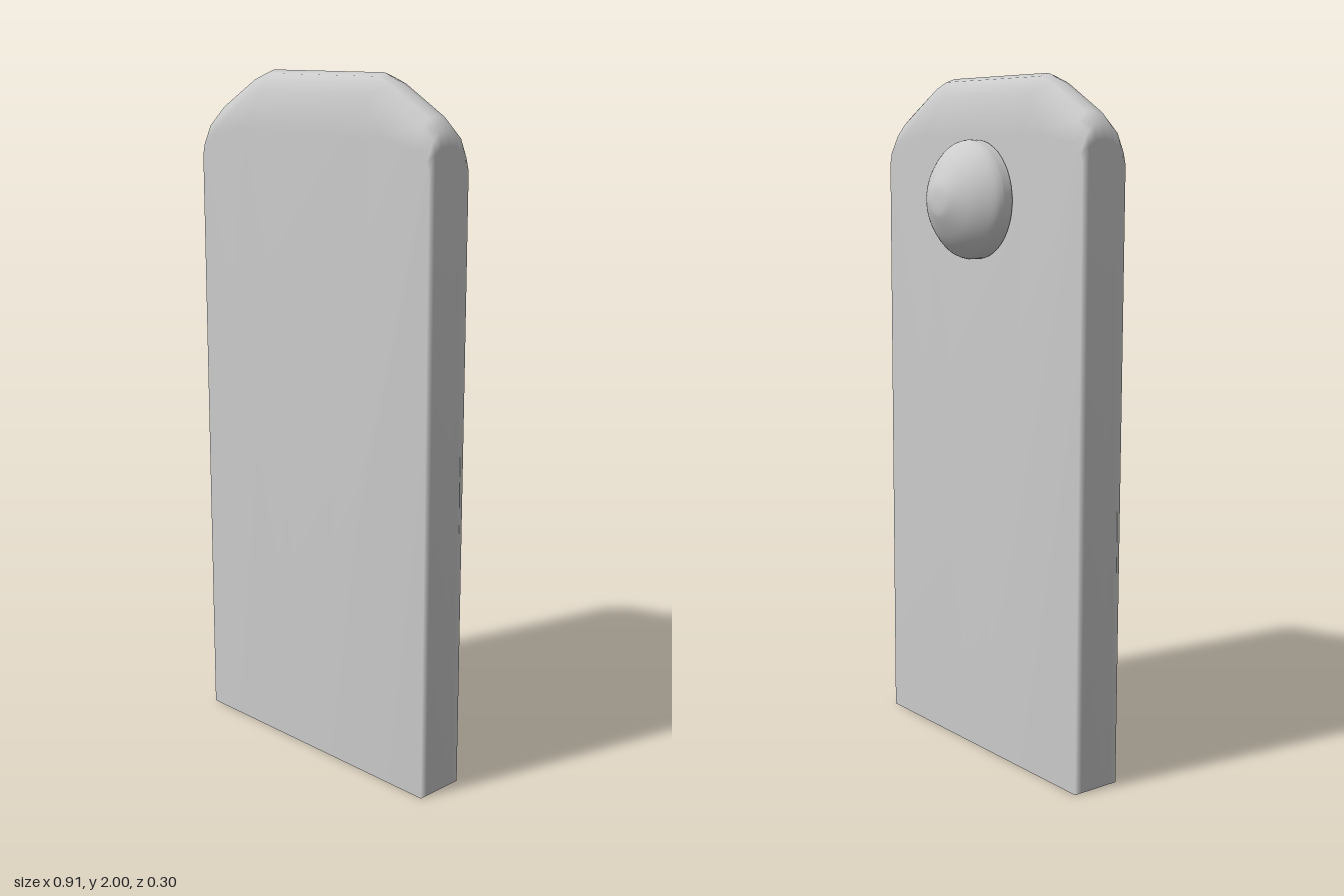
import * as THREE from 'three';

const material = () => new THREE.MeshStandardMaterial({ color: 0xcccccc });

// Upright slab: outline loops stacked through the depth, top edge dropping toward both faces
function slabGeometry() {
  // right half of the outline, bottom to top: x, y, share of the top drop
  const half = [
    [0.455, 0, 0], [0.455, 1.82, 0.4], [0.447, 1.86, 0.45], [0.41, 1.895, 0.5],
    [0.27, 1.98, 0.85], [0.22, 2, 1],
  ];
  const mirrored = half.map(([x, y, d]) => [-x, y, d]).reverse();
  const outline = [[0, 0, 0], ...half, ...mirrored];
  const steps = [[0.076, 0.17], [0.053, 0.055], [0.03, 0.01]]; // half depth, drop
  const layers = [
    ...steps.map(([h, d]) => [-h, d]), [0, 0],
    ...steps.map(([h, d]) => [h, d]).reverse(),
  ];
  const midZ = 0.071;
  const n = outline.length;
  const positions = [];
  const index = [];
  for (const [z, drop] of layers)
    for (const [x, y, share] of outline) positions.push(x, y - drop * share, midZ + z);
  for (let k = 0; k < layers.length - 1; k++) {
    for (let i = 0; i < n; i++) {
      const a = k * n + i;
      const b = k * n + ((i + 1) % n);
      index.push(a, b, b + n, a, b + n, a + n);
    }
  }
  // flat front and back faces
  const front = (layers.length - 1) * n;
  for (let i = 1; i < n - 1; i++) {
    index.push(front, front + i, front + i + 1);
    index.push(0, i + 1, i);
  }
  const geometry = new THREE.BufferGeometry();
  geometry.setAttribute('position', new THREE.Float32BufferAttribute(positions, 3));
  geometry.setIndex(index);
  geometry.computeVertexNormals();
  return geometry;
}

// Domed knob, turned around the depth axis
function knobGeometry() {
  const dome = new THREE.SplineCurve([
    [0.169, 0.04], [0.158, 0.066], [0.115, 0.107], [0.055, 0.141], [0.025, 0.149], [0, 0.15],
  ].map(([r, h]) => new THREE.Vector2(r, h)));
  const profile = [new THREE.Vector2(0, 0.013), new THREE.Vector2(0.169, 0.013),
    new THREE.Vector2(0.169, 0.014), ...dome.getPoints(20)];
  profile[profile.length - 1].set(0, 0.15);
  return new THREE.LatheGeometry(profile, 48).rotateX(-Math.PI / 2);
}

export function createModel() {
  const model = new THREE.Group();
  model.name = 'panelWithKnob';

  const add = (name, geometry, y = 0, z = 0) => {
    const mesh = new THREE.Mesh(geometry, material());
    mesh.name = name;
    mesh.position.set(0, y, z);
    model.add(mesh);
  };

  const knobY = 1.652;
  add('panel', slabGeometry());
  add('knob', knobGeometry(), knobY);
  // short neck joining the knob to the back of the panel
  add('knobNeck', new THREE.CylinderGeometry(0.125, 0.125, 0.03, 48).rotateX(Math.PI / 2), knobY, -0.005);
  return model;
}
